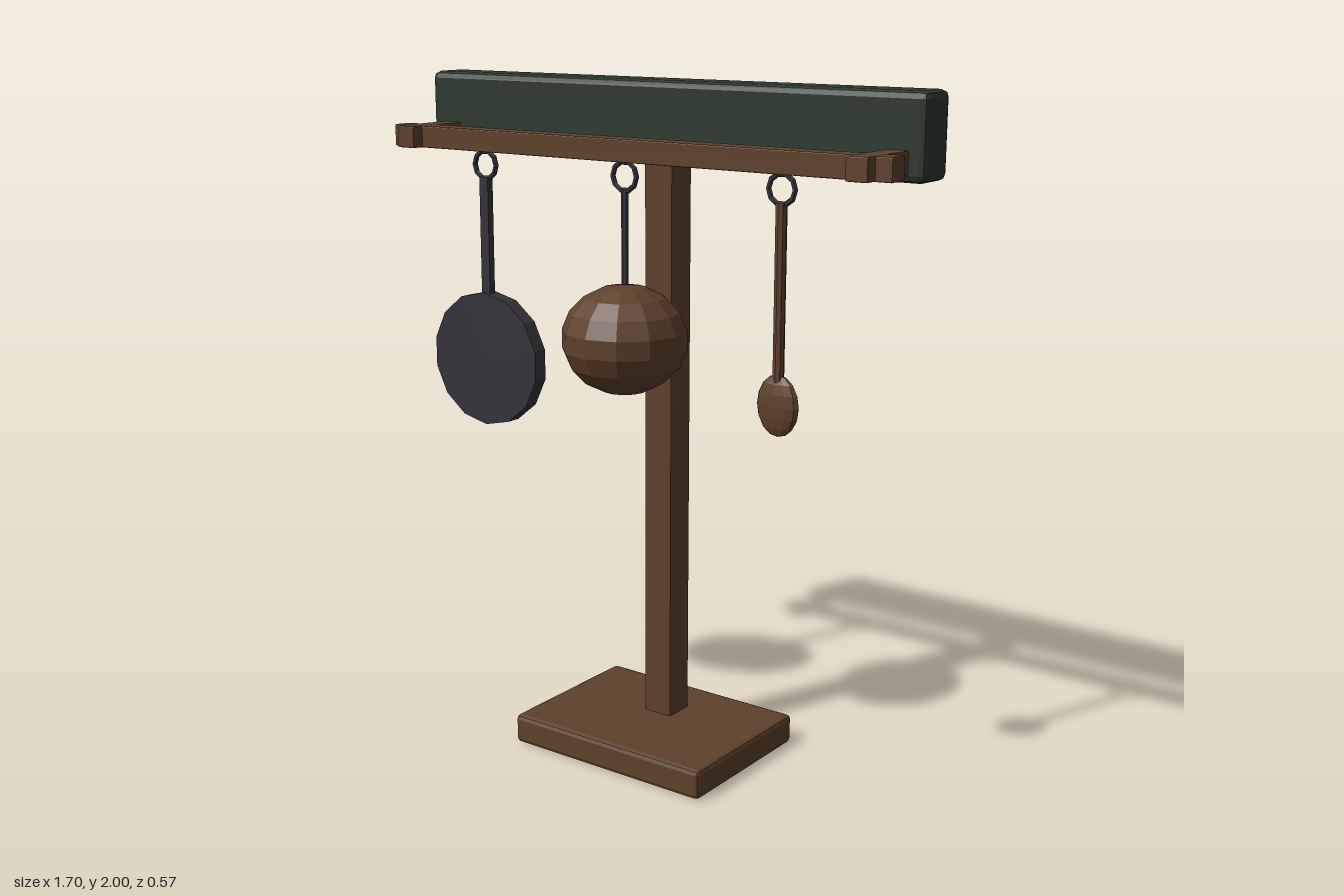
import * as THREE from 'three';
import { RoundedBoxGeometry } from 'three/addons/geometries/RoundedBoxGeometry.js';

const material = (name, color, flatShading = false) => {
  const m = new THREE.MeshStandardMaterial({ color, flatShading });
  m.name = name;
  return m;
};

export function createModel() {
  const wood = material('brown wood', 0x5e412c, true);
  const green = material('dark green paint', 0x2c372e, true);
  const iron = material('dark iron', 0x36343b, true);

  const model = new THREE.Group();
  model.name = 'utensilRack';

  const add = (name, geometry, mat, x, y, z, parent = model) => {
    const mesh = new THREE.Mesh(geometry, mat);
    mesh.name = name;
    mesh.position.set(x, y, z);
    parent.add(mesh);
    return mesh;
  };
  const block = (w, h, d, r) => new RoundedBoxGeometry(w, h, d, 1, r);
  const hangZ = 0.103;

  // Stand: base, post and crossbeam
  add('base', block(0.68, 0.09, 0.505, 0.014), wood, 0, 0.045, -0.0355);
  add('post', block(0.098, 1.74, 0.098, 0.008), wood, 0, 0.94, -0.102);
  add('crossbeam', block(1.7, 0.235, 0.132, 0.02), green, 0, 1.8825, -0.104);

  // Hanging rail on two brackets
  add('rail', block(1.7, 0.064, 0.064, 0.003), wood, 0, 1.817, 0.099);
  for (const side of [-1, 1]) {
    add('railBracket', block(0.064, 0.064, 0.22, 0.003), wood, side * 0.77, 1.8175, 0.06);
  }

  // Each utensil hangs from its own ring
  const utensil = (name, x) => {
    const group = new THREE.Group();
    group.name = name;
    group.position.set(x, 0, hangZ);
    model.add(group);
    add('hookRing', new THREE.TorusGeometry(0.041, 0.008, 6, 10), iron, 0, 1.745, 0, group);
    return group;
  };

  // Flat pan
  const pan = utensil('pan', -0.513);
  add('panHandle', new THREE.BoxGeometry(0.032, 0.37, 0.022), iron, 0, 1.525, 0, pan);
  const disc = new THREE.CylinderGeometry(0.202, 0.202, 0.047, 14).rotateX(Math.PI / 2);
  add('panDisc', disc, iron, 0, 1.166, 0, pan);

  // Round pot on a thin rod
  const pot = utensil('pot', 0);
  add('potRod', new THREE.CylinderGeometry(0.01, 0.01, 0.3, 6), iron, 0, 1.56, 0, pot);
  const ball = add('potBody', new THREE.SphereGeometry(0.182, 12, 9), wood, 0, 1.286, 0.003, pot);
  ball.scale.y = 0.865;

  // Spoon
  const spoon = utensil('spoon', 0.513);
  add('spoonHandle', new THREE.CylinderGeometry(0.016, 0.016, 0.48, 8), wood, 0, 1.47, 0, spoon);
  const bowl = add('spoonBowl', new THREE.SphereGeometry(0.066, 12, 8), wood, 0, 1.166, 0, spoon);
  bowl.scale.set(1, 1.3, 0.34);

  return model;
}
